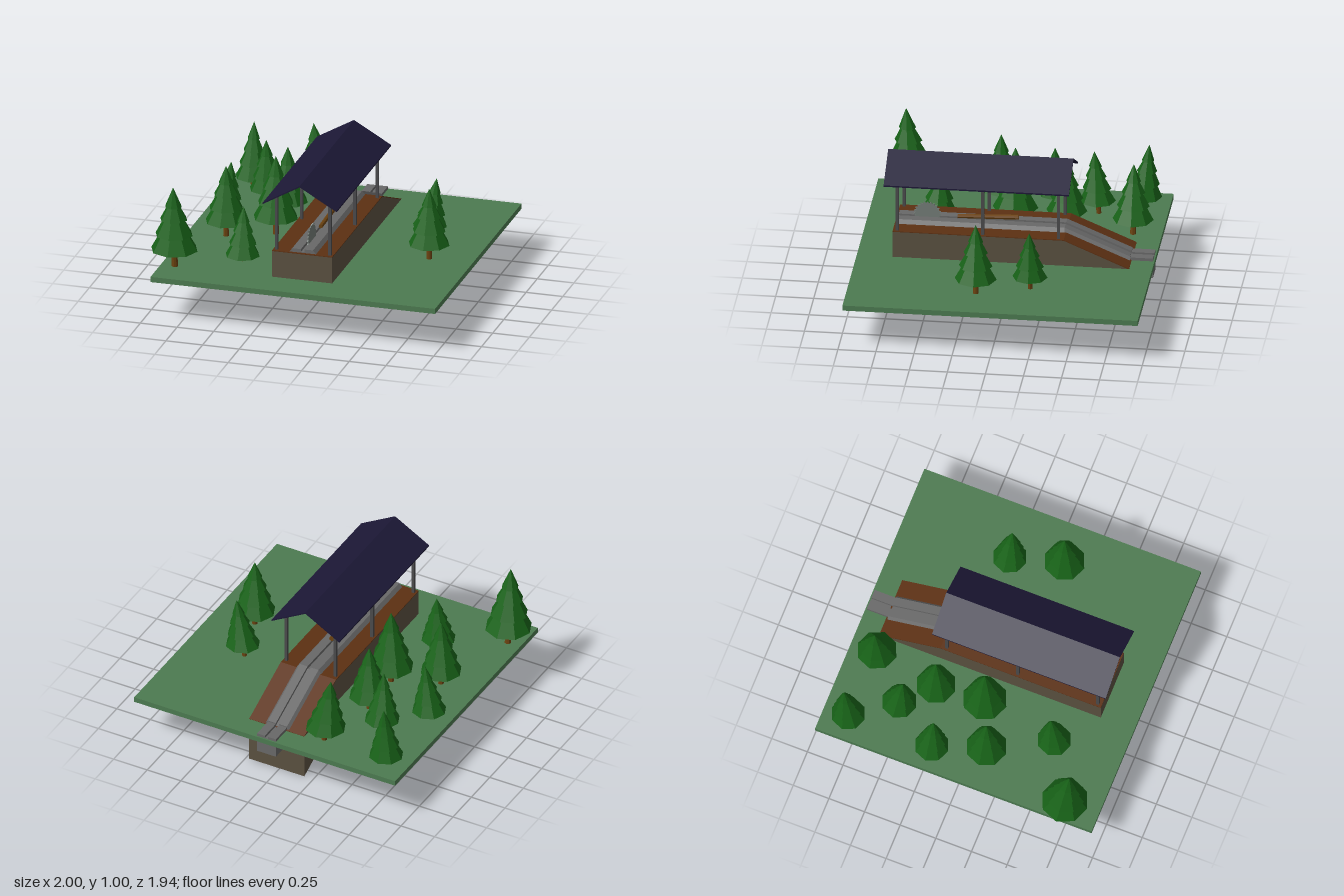
import * as THREE from 'three';

const mat = (color, side = THREE.FrontSide) =>
  new THREE.MeshStandardMaterial({ color, flatShading: true, side });
const M = {
  grass: mat(0x4c7a50), stone: mat(0x5a5040), dirt: mat(0x5c3012), roof: mat(0x1c1836, THREE.DoubleSide),
  post: mat(0x4a4a4c), track: mat(0x686868), saw: mat(0x737b76), leaf: mat(0x176117), bark: mat(0x6b4210),
};
const CX = 0.022; // centre line of the sawmill

function add(parent, name, geometry, material, x = 0, y = 0, z = 0) {
  const mesh = new THREE.Mesh(geometry, material);
  mesh.name = name;
  mesh.position.set(x, y, z);
  parent.add(mesh);
  return mesh;
}

const shapeOf = (pts) => new THREE.Shape(pts.map(([a, b]) => new THREE.Vector2(a, b)));

// Side profile given as [z, y], extruded across x and centred on x = 0
function sideExtrude(pts, width) {
  const g = new THREE.ExtrudeGeometry(shapeOf(pts), { depth: width, bevelEnabled: false });
  return g.rotateY(-Math.PI / 2).translate(width / 2, 0, 0);
}

// Cross-section [x, y] swept through stations [z, y], listed back to front
function sweep(section, stations) {
  const n = stations.length - 1;
  const g = new THREE.ExtrudeGeometry(shapeOf(section), { depth: n, steps: n, bevelEnabled: false });
  const p = g.attributes.position;
  for (let i = 0; i < p.count; i++) {
    const [z, y] = stations[Math.round(p.getZ(i))];
    p.setXYZ(i, p.getX(i), p.getY(i) + y, z);
  }
  g.computeVertexNormals();
  return g;
}

// Tiered eight-sided fir; sizes scale with height h and skirt radius r
function makeTree({ x, z, base, top, r, leanX = 0, leanZ = 0 }) {
  const tree = new THREE.Group();
  tree.name = 'firTree';
  const h = top - base;
  const profile = [[0, 0.24], [1, 0.22], [0.58, 0.43], [0.8, 0.41], [0.4, 0.62],
    [0.58, 0.6], [0.24, 0.78], [0.36, 0.76], [0, 1]]
    .map(([a, b]) => new THREE.Vector2(a * r, b * h));
  const foliage = new THREE.LatheGeometry(profile, 8);
  const trunk = new THREE.CylinderGeometry(r * 0.11, r * 0.14, h * 0.4, 8);
  add(tree, 'foliage', foliage, M.leaf);
  add(tree, 'trunk', trunk, M.bark, 0, h * 0.2, 0);
  // Lean grows with height around the skirt
  for (const g of [foliage, trunk]) {
    const p = g.attributes.position;
    const lift = g === trunk ? h * 0.2 : 0;
    for (let i = 0; i < p.count; i++) {
      const t = (p.getY(i) + lift) / h - 0.22;
      p.setX(i, p.getX(i) + leanX * t);
      p.setZ(i, p.getZ(i) + leanZ * t);
    }
    g.computeVertexNormals();
  }
  tree.position.set(x, base, z);
  return tree;
}

export function createModel() {
  const model = new THREE.Group();
  model.name = 'sawmill';

  // Ground slab
  add(model, 'ground', new THREE.BoxGeometry(1.94, 0.036, 1.94), M.grass, 0.03, 0.302, 0);

  // Foundation with a ramp falling away at the back, and its earth top
  add(model, 'foundation', sideExtrude(
    [[0.735, 0.19], [0.735, 0.5], [-0.39, 0.5], [-0.82, 0.316], [-0.82, 0], [-0.39, 0.19]], 0.41), M.stone, CX);
  add(model, 'earthTop', sideExtrude(
    [[0.735, 0.5], [0.735, 0.505], [-0.39, 0.505], [-0.82, 0.322], [-0.82, 0.316], [-0.39, 0.5]], 0.41), M.dirt, CX);

  // Slotted log track, following the ramp
  const section = [[-0.09, 0], [0.09, 0], [0.07, 0.025], [0.012, 0.025], [0.012, 0.006],
    [-0.012, 0.006], [-0.012, 0.025], [-0.07, 0.025]];
  add(model, 'track', sweep(section, [[-0.81, 0.322], [-0.38, 0.505], [0.72, 0.505]]), M.track, CX);

  // Block under the low end of the track
  const block = [[-0.07, 0.2], [0.07, 0.2], [0.07, 0.34], [0.012, 0.34], [0.012, 0.322],
    [-0.012, 0.322], [-0.012, 0.34], [-0.07, 0.34]];
  add(model, 'trackEnd', sweep(block, [[-0.96, 0], [-0.78, 0]]), M.track, CX);

  // Log lying on the track
  const log = add(model, 'log', new THREE.CylinderGeometry(0.017, 0.014, 0.4, 8), M.bark, CX + 0.004, 0.55, 0.13);
  log.rotation.x = -Math.PI / 2 + 0.035;

  // Toothed saw blade
  const teeth = 24;
  const rim = [];
  for (let i = 0; i < teeth; i++) {
    const a = (i / teeth) * Math.PI * 2;
    rim.push([Math.cos(a) * 0.092, Math.sin(a) * 0.092]);
    rim.push([Math.cos(a + 0.16) * 0.079, Math.sin(a + 0.16) * 0.079]);
  }
  add(model, 'sawBlade', sideExtrude(rim, 0.008), M.saw, CX + 0.003, 0.545, 0.53);

  // Roof on six posts
  const rise = 0.155, half = 0.252, t = 0.01;
  const roof = sweep([[-half, 0], [0, rise - t], [half, 0], [half, t], [0, rise], [-half, t]],
    [[-0.43, 0.845], [0.788, 0.845]]);
  add(model, 'roof', roof, M.roof, CX);
  for (const z of [-0.353, 0.145, 0.706]) {
    for (const side of [-1, 1]) {
      add(model, 'post', new THREE.BoxGeometry(0.02, 0.385, 0.02), M.post, CX + side * 0.182, 0.6925, z);
    }
  }

  // Fir trees
  const trees = [
    { x: -0.78, z: -0.8, base: 0.265, top: 0.745, r: 0.115, leanZ: -0.04 },
    { x: -0.32, z: -0.78, base: 0.315, top: 0.8, r: 0.135, leanX: -0.05 },
    { x: -0.595, z: -0.515, base: 0.315, top: 0.765, r: 0.118, leanZ: 0.03 },
    { x: -0.4, z: -0.335, base: 0.315, top: 0.8, r: 0.135 },
    { x: -0.78, z: -0.215, base: 0.265, top: 0.7, r: 0.115, leanX: 0.04 },
    { x: -0.38, z: 0, base: 0.315, top: 0.865, r: 0.15 },
    { x: -0.68, z: 0.13, base: 0.315, top: 0.81, r: 0.138 },
    { x: -0.45, z: 0.515, base: 0.265, top: 0.69, r: 0.115, leanZ: -0.03 },
    { x: -0.845, z: 0.745, base: 0.315, top: 0.885, r: 0.157, leanZ: 0.04 },
    { x: 0.605, z: -0.215, base: 0.315, top: 0.745, r: 0.115, leanX: 0.06 },
    { x: 0.705, z: 0.13, base: 0.315, top: 0.81, r: 0.138 },
  ];
  trees.forEach((spec) => model.add(makeTree(spec)));

  return model;
}
